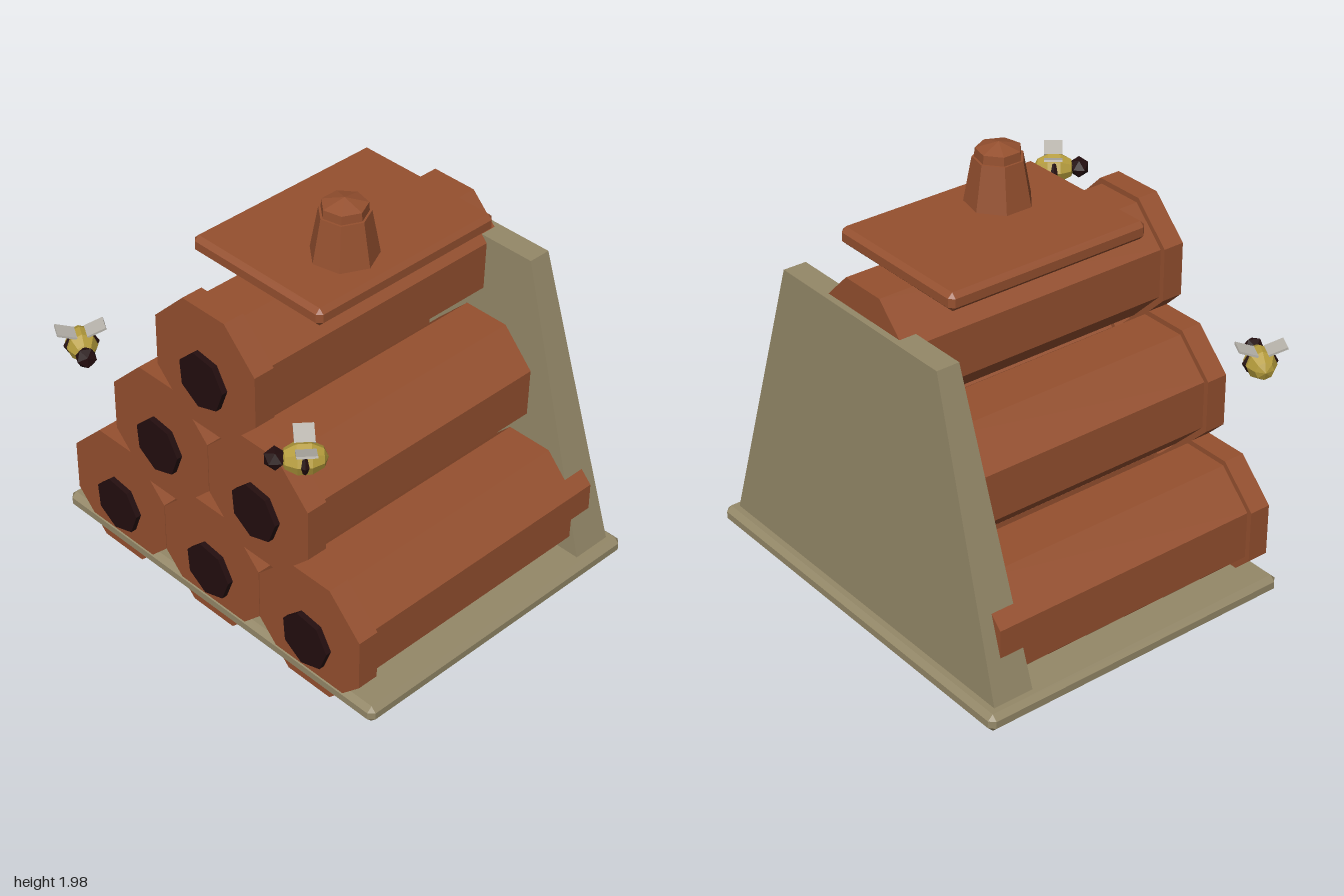
import * as THREE from 'three';
import { ConvexGeometry } from 'three/addons/geometries/ConvexGeometry.js';

const paint = (name, color) => {
  const m = new THREE.MeshStandardMaterial({ color, flatShading: true });
  m.name = name;
  return m;
};

export function createModel() {
  const model = new THREE.Group();
  model.name = 'beehiveStack';
  const clay = paint('terracotta', 0x95502f);
  const stone = paint('stone', 0x948868);
  const dark = paint('darkBrown', 0x230d0e);
  const yellow = paint('honeyYellow', 0xb59c3c);
  const wingGrey = paint('wingGrey', 0xb8b4ac);

  const add = (parent, name, geometry, material, x = 0, y = 0, z = 0) => {
    const mesh = new THREE.Mesh(geometry, material);
    mesh.name = name;
    mesh.position.set(x, y, z);
    parent.add(mesh);
    return mesh;
  };

  // Box with all twelve edges chamfered by c
  const chamferBox = (w, h, d, c) => {
    const pts = [];
    for (const sx of [-1, 1]) for (const sy of [-1, 1]) for (const sz of [-1, 1]) {
      const x = w / 2, y = h / 2, z = d / 2;
      pts.push(
        new THREE.Vector3(sx * x, sy * (y - c), sz * (z - c)),
        new THREE.Vector3(sx * (x - c), sy * y, sz * (z - c)),
        new THREE.Vector3(sx * (x - c), sy * (y - c), sz * z)
      );
    }
    return new ConvexGeometry(pts);
  };

  // Octagonal prism along z, flat side up, sized by its apothem
  const octagon = (apothem, length) => {
    const r = apothem / Math.cos(Math.PI / 8);
    return new THREE.CylinderGeometry(r, r, length, 8).rotateY(Math.PI / 8).rotateX(Math.PI / 2);
  };

  // Base slab
  add(model, 'base', chamferBox(2, 0.085, 1.61, 0.025), stone, 0, 0.0575, -0.14);

  // Tapered back panel
  const panel = [];
  for (const s of [-1, 1]) {
    for (const z of [-0.69, -0.892]) panel.push(new THREE.Vector3(s * 0.955, 0.08, z));
    for (const z of [-0.733, -0.845]) panel.push(new THREE.Vector3(s * 0.535, 1.495, z));
  }
  add(model, 'backPanel', new ConvexGeometry(panel), stone);

  // Stacked hive tubes: three, two, one
  const bodyGeo = octagon(0.28, 1.39);
  const collarGeo = octagon(0.305, 0.105);
  const holeGeo = new THREE.CylinderGeometry(0.137, 0.137, 0.05, 7).rotateX(Math.PI / 2).rotateZ(-0.14);
  for (let row = 0; row < 3; row++) {
    const count = 3 - row;
    for (let i = 0; i < count; i++) {
      const tube = new THREE.Group();
      tube.name = 'hiveTube';
      tube.position.set((i - (count - 1) / 2) * 0.614, 0.305 + row * 0.521, 0);
      add(tube, 'tubeBody', bodyGeo, clay, 0, 0, -0.12);
      add(tube, 'tubeCollar', collarGeo, clay, 0, 0, 0.6075);
      add(tube, 'entranceHole', holeGeo, dark, 0, -0.045, 0.663);
      model.add(tube);
    }
  }

  // Lid and chimney
  add(model, 'lid', chamferBox(0.775, 0.085, 1.035, 0.022), clay, 0, 1.66, -0.14);
  const chimney = new THREE.Group();
  chimney.name = 'chimney';
  chimney.position.set(0.155, 0, 0.012);
  chimney.rotation.y = Math.PI / 2;
  add(chimney, 'chimneyShaft', new THREE.CylinderGeometry(0.115, 0.155, 0.22, 7), clay, 0, 1.8, 0);
  add(chimney, 'chimneyCap', new THREE.CylinderGeometry(0.102, 0.105, 0.05, 7), clay, 0, 1.925, 0);
  add(chimney, 'chimneyTip', new THREE.ConeGeometry(0.102, 0.03, 7), clay, 0, 1.965, 0);
  model.add(chimney);

  // Flying bees, built facing +z and then turned
  const bee = (x, y, z, yaw) => {
    const g = new THREE.Group();
    g.name = 'bee';
    const body = new THREE.SphereGeometry(0.072, 8, 5).rotateX(Math.PI / 2);
    add(g, 'beeBody', body, yellow).scale.z = 1.35;
    add(g, 'beeBand', new THREE.SphereGeometry(0.06, 8, 4), dark).scale.set(1.35, 1, 0.75);
    add(g, 'beeHead', new THREE.IcosahedronGeometry(0.05, 0), dark, 0, 0.005, 0.115);
    for (const s of [-1, 1]) {
      const wing = add(g, 'beeWing', new THREE.BoxGeometry(0.09, 0.01, 0.085), wingGrey, s * 0.065, 0.07, -0.005);
      wing.rotation.z = s * 0.35;
    }
    g.position.set(x, y, z);
    g.rotation.y = yaw;
    model.add(g);
  };
  bee(-0.785, 1.085, 0.69, 1.06);
  bee(0.735, 1.395, 0.795, -0.69);

  return model;
}
